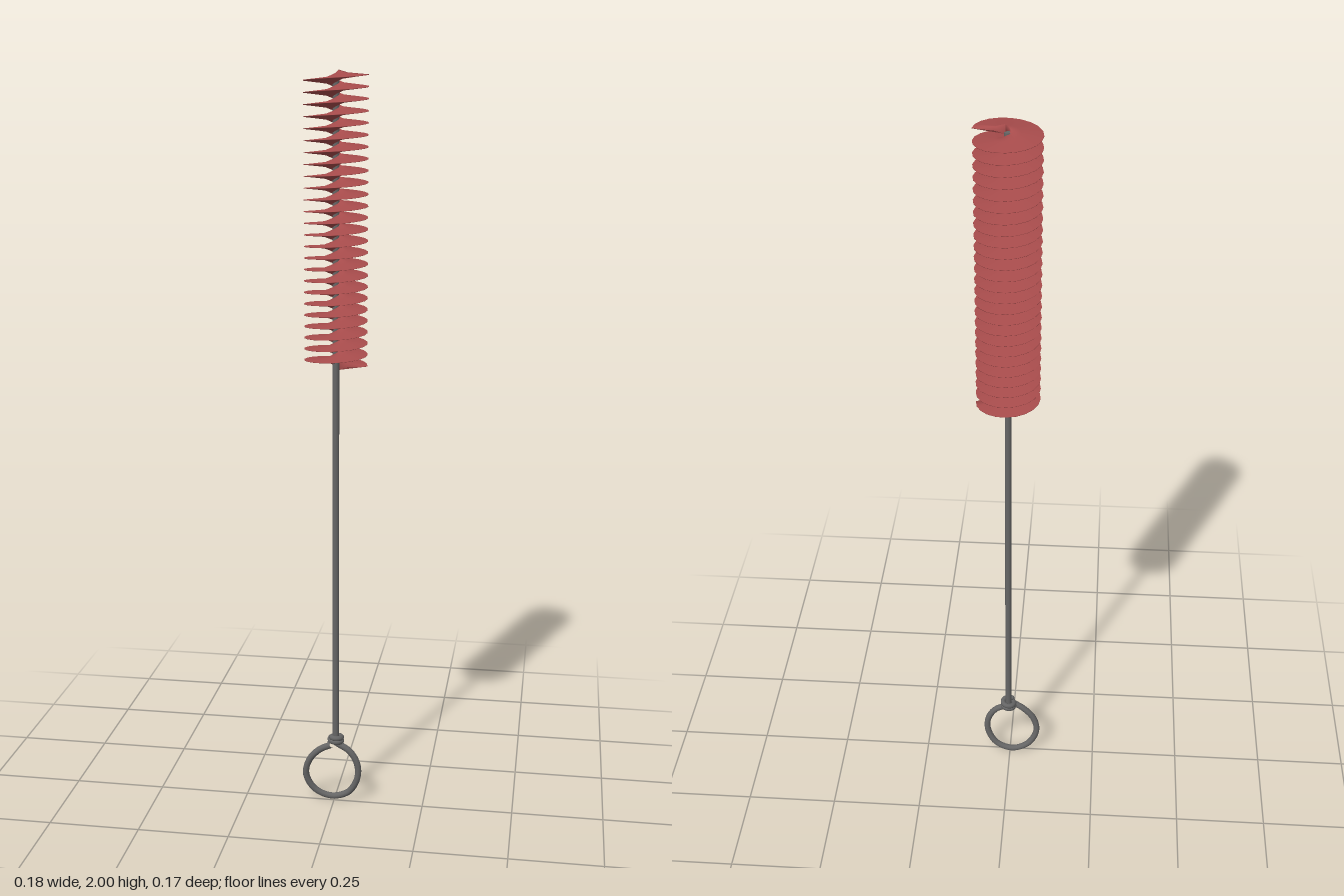
import * as THREE from 'three';

const AXIS_X = 0.005;
const WIRE_R = 0.009;

// Closed-profile sweep around a rising helix: profile points are [radius, height offset]
function helicalFin(profile, y0, y1, turns, stepsPerTurn) {
  const steps = turns * stepsPerTurn, n = profile.length;
  const pos = [], idx = [];
  for (let i = 0; i <= steps; i++) {
    const a = (i / stepsPerTurn) * Math.PI * 2;
    const y = y0 + (y1 - y0) * (i / steps);
    for (const [r, h] of profile) pos.push(r * Math.cos(a), y + h, -r * Math.sin(a));
  }
  for (let i = 0; i < steps; i++) {
    for (let j = 0; j < n; j++) {
      const a = i * n + j, b = i * n + (j + 1) % n;
      idx.push(a, b, b + n, a, b + n, a + n);
    }
  }
  // End caps
  const last = steps * n;
  for (let j = 1; j < n - 1; j++) {
    idx.push(0, j + 1, j, last, last + j, last + j + 1);
  }
  const g = new THREE.BufferGeometry();
  g.setAttribute('position', new THREE.Float32BufferAttribute(pos, 3));
  g.setIndex(idx);
  g.computeVertexNormals();
  return g;
}

export function createModel() {
  const model = new THREE.Group();
  const wireMat = new THREE.MeshStandardMaterial({ color: 0x666666 });
  const bristleMat = new THREE.MeshStandardMaterial({ color: 0xa84c4c, side: THREE.DoubleSide });

  const add = (name, geometry, material) => {
    const mesh = new THREE.Mesh(geometry, material);
    mesh.name = name;
    model.add(mesh);
    return mesh;
  };

  // Straight wire running the full height of the brush
  const shaft = add('shaft', new THREE.CylinderGeometry(WIRE_R, WIRE_R, 1.805, 12), wireMat);
  shaft.position.set(AXIS_X, 0.185 + 1.805 / 2, 0);

  // Spiral bristles: thick root, thin outer edge
  const profile = [[0.006, -0.012], [0.03, -0.005], [0.083, -0.0005], [0.083, 0.0005], [0.03, 0.005], [0.006, 0.012]];
  const bristles = add('bristles', helicalFin(profile, 1.26, 1.997, 25, 20), bristleMat);
  bristles.position.x = AXIS_X;

  // Finger loop, slightly tilted and pinched at the top
  const loopPoints = [
    [0.005, 0.187, 0.002], [0.045, 0.163, 0.004], [0.066, 0.125, 0.003], [0.066, 0.08, 0],
    [0.04, 0.034, -0.005], [-0.008, 0.017, -0.008], [-0.055, 0.037, -0.004], [-0.079, 0.085, 0.003],
    [-0.068, 0.133, 0.008], [-0.038, 0.167, 0.011], [-0.006, 0.185, 0.016],
  ].map(p => new THREE.Vector3(...p));
  add('fingerLoop', new THREE.TubeGeometry(new THREE.CatmullRomCurve3(loopPoints), 64, WIRE_R, 10), wireMat);

  // Wire end wound around the shaft above the loop
  const wrapPoints = [];
  for (let i = 0; i <= 28; i++) {
    const a = 2.2 + (i / 28) * Math.PI * 4;
    wrapPoints.push(new THREE.Vector3(AXIS_X + 0.016 * Math.cos(a), 0.184 + 0.022 * (i / 28), 0.016 * Math.sin(a)));
  }
  const wrapCurve = new THREE.CatmullRomCurve3(wrapPoints);
  add('wireWrap', new THREE.TubeGeometry(wrapCurve, 56, 0.0075, 8), wireMat);

  // Rounded tip of the wound wire
  const tip = add('wrapTip', new THREE.SphereGeometry(0.0075, 8, 6), wireMat);
  tip.position.copy(wrapPoints[wrapPoints.length - 1]);

  return model;
}
